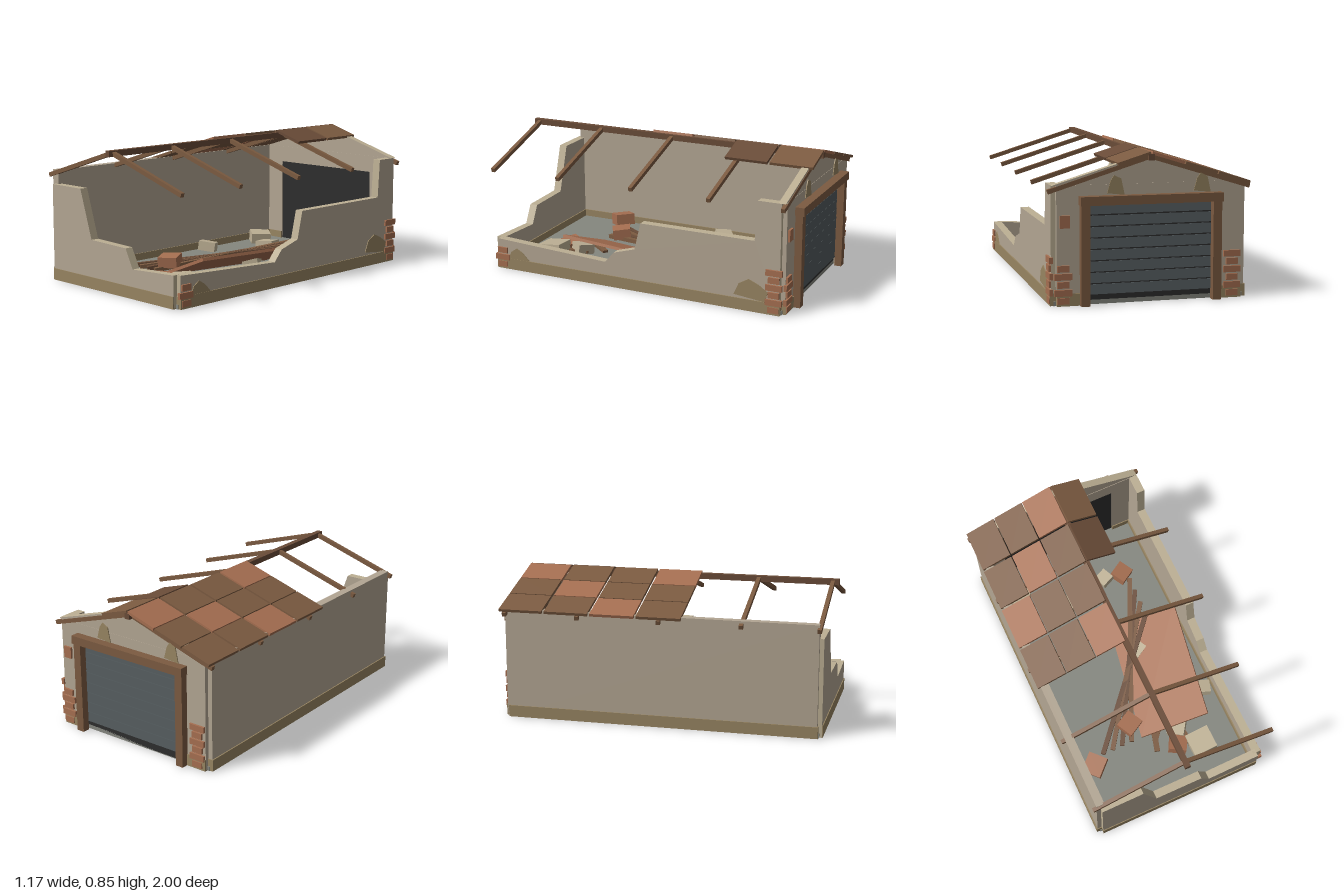
import * as THREE from 'three';

const mat = (name, color) => {
  const m = new THREE.MeshStandardMaterial({ color });
  m.name = name;
  return m;
};

export function createModel() {
  const root = new THREE.Group();
  root.name = 'ruinedGarage';

  const plaster = mat('plaster', 0xb3a693);
  const plinthTan = mat('plinthTan', 0x988562);
  const cream = mat('brokenCream', 0xbdb094);
  const concrete = mat('concrete', 0x85877f);
  const terracotta = mat('terracotta', 0xa66f51);
  const brown = mat('woodBrown', 0x7c5b41);
  const darkWood = mat('darkWood', 0x6a4c38);
  const steel = mat('shutterSteel', 0x52595c);
  const black = mat('shutterBlack', 0x2d2d2d);

  const add = (name, geo, material, x = 0, y = 0, z = 0, parent = root) => {
    const m = new THREE.Mesh(geo, material);
    m.name = name;
    m.position.set(x, y, z);
    parent.add(m);
    return m;
  };
  // Box given by its min and max corners
  const span = (name, material, x0, x1, y0, y1, z0, z1) =>
    add(name, new THREE.BoxGeometry(x1 - x0, y1 - y0, z1 - z0), material,
      (x0 + x1) / 2, (y0 + y1) / 2, (z0 + z1) / 2);
  // Flat outline extruded to a slab
  const slab = (pts, depth) => new THREE.ExtrudeGeometry(
    new THREE.Shape(pts.map(p => new THREE.Vector2(...p))), { depth, bevelEnabled: false });
  // Square timber between two points
  const timber = (name, material, a, b, w, h) => {
    const A = new THREE.Vector3(...a), B = new THREE.Vector3(...b);
    const m = add(name, new THREE.BoxGeometry(w, h, A.distanceTo(B)), material);
    m.position.copy(A).add(B).multiplyScalar(0.5);
    m.lookAt(B);
    return m;
  };

  // Floor
  span('floorSlab', concrete, -0.55, 0.55, 0, 0.025, -0.93, 0.965);

  // Side walls: one whole, one broken down
  span('wholeSideWall', plaster, -0.562, -0.51, 0.005, 0.67, -0.92, 0.955);
  const sideGeo = slab([[0.955, 0.005], [0.955, 0.19], [0.2, 0.152], [0.14, 0.22], [0, 0.262],
    [-0.04, 0.43], [-0.762, 0.43], [-0.778, 0.67], [-0.92, 0.67], [-0.92, 0.005]], 0.052);
  sideGeo.rotateY(-Math.PI / 2);
  add('brokenSideWall', sideGeo, [plaster, cream], 0.562);

  // Broken front wall
  add('brokenFrontWall', slab([[-0.535, 0.005], [0.532, 0.005], [0.532, 0.19], [0.19, 0.172],
    [0.13, 0.285], [-0.175, 0.293], [-0.27, 0.585], [-0.535, 0.585]], 0.05),
  [plaster, cream], 0, 0, 0.93);

  // Back wall: piers, lintel and gable
  for (const s of [-1, 1]) {
    const [a, b] = s < 0 ? [-0.535, -0.388] : [0.388, 0.535];
    span('backPier', plaster, a, b, 0.005, 0.67, -0.945, -0.895);
  }
  span('backLintel', plaster, -0.388, 0.388, 0.565, 0.67, -0.945, -0.895);
  add('backGable', slab([[-0.56, 0.67], [0.56, 0.67], [0, 0.838]], 0.045),
    [plaster, cream], 0, 0, -0.943);

  // Plinth
  for (const s of [-1, 1]) {
    add('sidePlinth', new THREE.BoxGeometry(0.066, 0.07, 1.885), plinthTan, s * 0.536, 0.035, 0.0175);
    span('backPlinth', plinthTan, s < 0 ? -0.535 : 0.388, s < 0 ? -0.388 : 0.535, 0, 0.07, -0.951, -0.889);
  }
  span('frontPlinth', plinthTan, -0.535, 0.532, 0, 0.07, 0.923, 0.985);

  // Roller door with timber surround
  span('doorBacking', black, -0.388, 0.388, 0.005, 0.565, -0.93, -0.905);
  for (let i = 0; i < 8; i++) {
    const slat = add('doorSlat', new THREE.BoxGeometry(0.74, 0.056, 0.012), steel,
      0, 0.085 + i * 0.064, -0.938);
    slat.rotation.x = 0.12;
  }
  for (const s of [-1, 1])
    add('doorPost', new THREE.BoxGeometry(0.05, 0.565, 0.045), brown, s * 0.38, 0.2825, -0.968);
  span('doorHeader', brown, -0.41, 0.41, 0.56, 0.61, -1, -0.943);

  // Roof frame
  const slope = 0.3, rise = Math.tan(slope);
  span('ridgeBeam', darkWood, -0.017, 0.017, 0.797, 0.832, -0.97, 0.995);
  for (const z of [0.957, 0.505, 0.015, -0.482, -0.935])
    for (const s of [-1, 1])
      timber('rafter', brown, [0, 0.817, z], [s * 0.583, 0.817 - 0.583 * rise, z], 0.024, 0.025);

  // Surviving roof tiles, column by column away from the ridge
  const tile = (s, col, row, material) => {
    const x = (col + 0.5) * 0.194;
    const t = add('roofTile', new THREE.BoxGeometry(0.196, 0.017, 0.268), material,
      s * x, 0.839 - x * rise, -0.834 + row * 0.283);
    t.rotation.z = -s * slope;
  };
  const O = terracotta, B = brown, D = darkWood;
  [[O, B, B], [B, O, B], [B, B, O], [O, B, B]].forEach((row, r) =>
    row.forEach((m, c) => tile(-1, c, r, m)));
  tile(1, 0, 0, B);
  tile(1, 0, 1, D);

  // Exposed bricks at the corners
  const quoin = (x, z, n, alongZ) => {
    for (let i = 0; i < n; i++) {
      const w = i % 2 ? 0.1 : 0.068;
      add('cornerBrick', new THREE.BoxGeometry(alongZ ? 0.02 : w, 0.036, alongZ ? w : 0.02),
        terracotta, x, 0.03 + i * 0.045, z);
    }
  };
  quoin(0.564, 0.92, 3, true);
  quoin(0.564, -0.885, 6, true);
  quoin(0.5, -0.948, 5, false);
  quoin(-0.48, -0.948, 6, false);
  add('looseBrick', new THREE.BoxGeometry(0.055, 0.07, 0.02), terracotta, 0.49, 0.47, -0.948);

  // Worn plaster patches
  const sidePatch = pts => {
    const g = slab(pts, 0.006);
    g.rotateY(-Math.PI / 2);
    add('wornPatch', g, plinthTan, 0.567);
  };
  sidePatch([[0.88, 0.07], [0.73, 0.07], [0.78, 0.12], [0.82, 0.142], [0.86, 0.115]]);
  sidePatch([[-0.64, 0.09], [-0.83, 0.07], [-0.85, 0.13], [-0.79, 0.17], [-0.73, 0.195], [-0.67, 0.16]]);
  for (const x of [0.2, -0.3])
    add('wornPatch', slab([[-0.05, -0.06], [0.05, -0.05], [0.03, 0.02], [0.01, 0.05], [-0.03, 0.03]], 0.006),
      plinthTan, x, 0.67, -0.95);

  // Fallen roof panel leaning on the broken wall
  const panel = add('fallenPanel', new THREE.BoxGeometry(0.46, 0.018, 0.78), terracotta, 0.22, 0.117, 0.18);
  panel.rotation.set(0, -0.165, 0.36, 'YXZ');

  // Fallen rafters
  for (let i = 0; i < 4; i++)
    timber('fallenRafter', i % 2 ? darkWood : brown,
      [-0.13 - i * 0.067, 0.05, 0.53], [0.31, 0.185 - i * 0.012, -0.45 + i * 0.085], 0.03, 0.025);
  for (const [x, z, yaw] of [[0.08, 0.5, 0.9], [0.02, 0.56, 1.3], [0.2, 0.62, 1.7]]) {
    const s = add('splinter', new THREE.BoxGeometry(0.2, 0.015, 0.035), brown, x, 0.045, z);
    s.rotation.y = yaw;
  }

  // Rubble: x, y, z, size, yaw, colour
  [[-0.41, 0.08, 0.58, 0.13, 0.75, terracotta], [-0.1, 0.1, 0.43, 0.12, 0.5, terracotta],
    [0.13, 0.06, 0.67, 0.11, -0.5, terracotta], [0.27, 0.065, 0.72, 0.155, 0.03, cream],
    [0.17, 0.06, 0.57, 0.11, -0.6, cream], [0.44, 0.07, 0.4, 0.09, -0.3, cream],
    [0.3, 0.065, -0.555, 0.11, 0.55, terracotta], [0.18, 0.06, -0.57, 0.09, 0.4, cream],
    [-0.145, 0.06, -0.49, 0.12, 0.3, cream], [-0.39, 0.06, -0.675, 0.13, 0.9, cream],
    [-0.39, 0.065, -0.175, 0.11, 0.6, cream], [0.16, 0.08, -0.02, 0.1, 0.5, cream],
  ].forEach(([x, y, z, s, yaw, m], i) => {
    const b = add('rubbleBlock', new THREE.BoxGeometry(s, s * 0.55, s * 0.95), m, x, y, z);
    b.rotation.set(0.15 * Math.sin(i * 2.3), yaw, 0.18 * Math.cos(i * 1.7));
  });

  return root;
}
